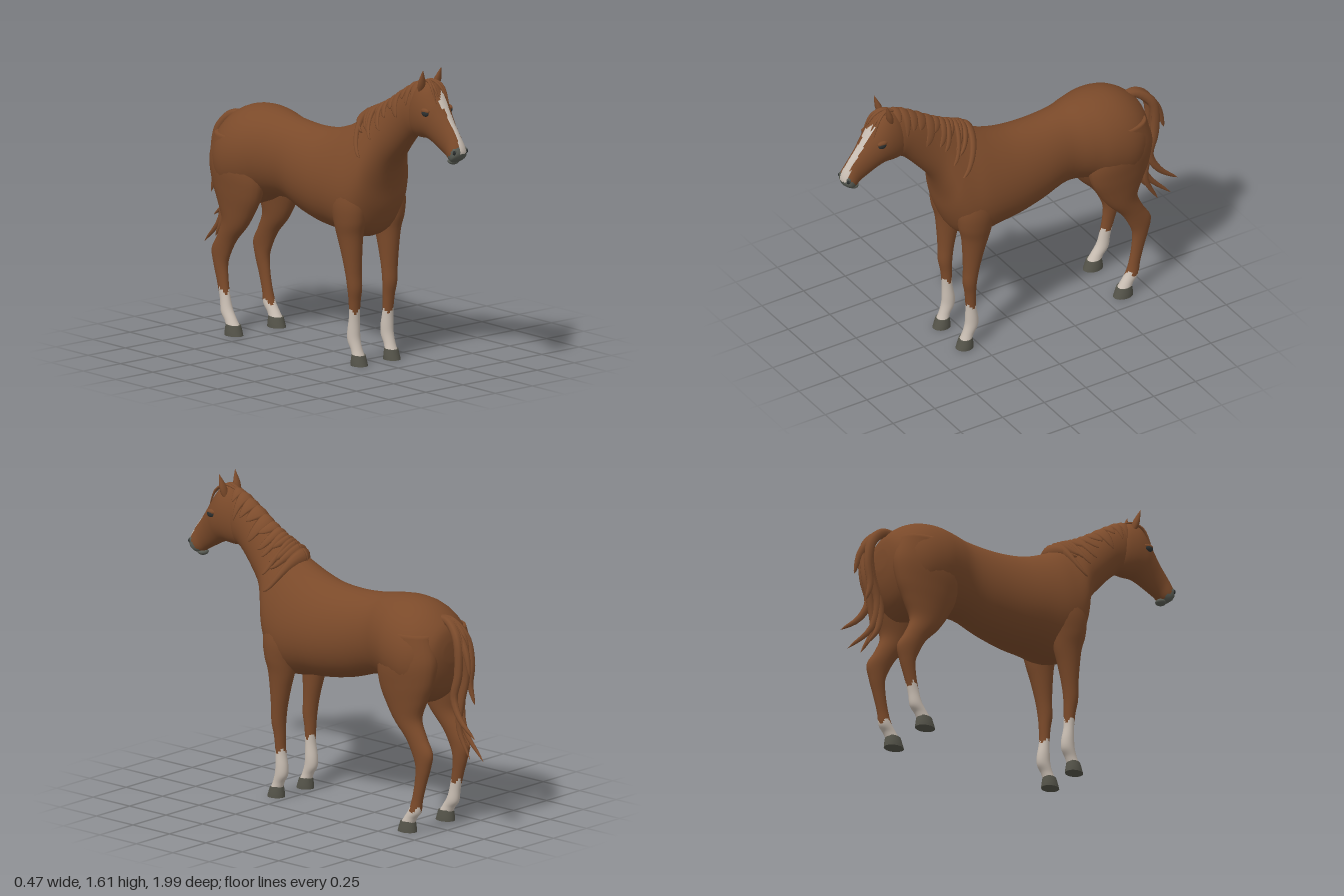
import * as THREE from 'three';
import { toCreasedNormals } from 'three/addons/utils/BufferGeometryUtils.js';

const mat = (name, color) => Object.assign(new THREE.MeshStandardMaterial({ color }), { name });
const coat = mat('chestnut coat', 0x7b4a2a);
const hair = mat('mane and tail hair', 0x7d4c2c);
const white = mat('white markings', 0xc8bdb2);
const grey = mat('grey muzzle', 0x585b53);
const horn = mat('hoof horn', 0x55544a);
const dark = mat('dark eye', 0x2c3030);

// Grid surface from fn(i, j); j wraps round. paint(point, i, j) picks a material index.
function surface(fn, nu, nv, paint = () => 0) {
  const pos = [], faces = [[], [], []];
  const pts = [];
  for (let i = 0; i <= nu; i++) for (let j = 0; j < nv; j++) {
    const p = fn(i, (j / nv) * Math.PI * 2);
    pts.push(p);
    pos.push(p.x, p.y, p.z);
  }
  for (let i = 0; i < nu; i++) for (let j = 0; j < nv; j++) {
    const k = (j + 1) % nv;
    const a = i * nv + j, b = a + nv, c = i * nv + k, d = c + nv;
    const mid = pts[a].clone().add(pts[b]).add(pts[c]).add(pts[d]).multiplyScalar(0.25);
    faces[paint(mid, ((j + 0.5) / nv) * Math.PI * 2)].push(a, b, c, b, d, c);
  }
  const g = new THREE.BufferGeometry();
  g.setAttribute('position', new THREE.Float32BufferAttribute(pos, 3));
  g.setIndex(faces.flat());
  let start = 0;
  faces.forEach((f, m) => { if (f.length) g.addGroup(start, f.length, m); start += f.length; });
  g.computeVertexNormals();
  return g;
}

// Section: [z, y of upper/front edge, z, y of lower/rear edge, half width, x centre, egg shape]
function sectionPoint(S, u, a, scale = 1) {
  const i = Math.min(Math.max(Math.floor(u), 0), S.length - 2), t = u - i;
  const row = k => S[Math.min(Math.max(k, 0), S.length - 1)];
  const v = [0, 1, 2, 3, 4, 5, 6].map(c => {
    const [p, q, r, s] = [i - 1, i, i + 1, i + 2].map(k => row(k)[c] ?? 0);
    return q + 0.5 * t * (r - p + t * (2 * p - 5 * q + 4 * r - s + t * (3 * (q - r) + s - p)));
  });
  const c = Math.cos(a) * scale * 0.5;
  return new THREE.Vector3(
    v[5] + v[4] * Math.sin(a) * (1 - v[6] * Math.cos(a)) * scale,
    (v[1] + v[3]) / 2 + c * (v[1] - v[3]),
    (v[0] + v[2]) / 2 + c * (v[0] - v[2]));
}
function loft(S, per, nv, paint) {
  const n = (S.length - 1) * per;
  return surface((i, a) => sectionPoint(S, Math.min(Math.max(i - 1, 0), n) / per, a,
    i === 0 || i === n + 2 ? 0 : 1), n + 2, nv, paint);
}
// Tapered lock of hair along a path of [x, y, z] points
function strand(points, rx, r) {
  const curve = new THREE.CatmullRomCurve3(points.map(p => new THREE.Vector3(...p)));
  const n = 24;
  return surface((i, b) => {
    const t = i / n, T = curve.getTangent(t), k = Math.pow(1 - t, 0.6) * (0.6 + t);
    const N = new THREE.Vector3(0, -T.z, T.y).normalize();
    return curve.getPoint(t).addScaledVector(N, Math.sin(b) * r * k)
      .add(new THREE.Vector3(Math.cos(b) * rx * k, 0, 0));
  }, n, 8);
}

const TORSO = [
  [-.785, 1.0, -.785, .90, .06], [-.765, 1.08, -.765, .80, .14], [-.69, 1.15, -.72, .71, .205],
  [-.60, 1.19, -.64, .66, .235], [-.50, 1.2, -.52, .69, .228], [-.40, 1.19, -.42, .735, .195],
  [-.30, 1.172, -.30, .745, .163], [-.15, 1.16, -.15, .70, .178, 0, .05], [0, 1.168, 0, .67, .197, 0, .1],
  [.12, 1.2, .12, .66, .207, 0, .15], [.22, 1.245, .24, .645, .208, 0, .2], [.28, 1.28, .34, .68, .192, 0, .25],
  [.32, 1.305, .40, .80, .168, 0, .3], [.36, 1.33, .428, .93, .14, 0, .3], [.41, 1.36, .47, 1.04, .112, 0, .2],
  [.48, 1.405, .545, 1.135, .094, 0, .1], [.57, 1.465, .63, 1.225, .083], [.65, 1.51, .68, 1.25, .076],
  [.72, 1.53, .71, 1.27, .06]];
const HEAD = [
  [.66, 1.50, .62, 1.30, .055], [.72, 1.54, .64, 1.25, .078], [.78, 1.53, .69, 1.24, .088],
  [.83, 1.47, .75, 1.243, .084], [.87, 1.41, .79, 1.23, .07], [.91, 1.355, .845, 1.2, .054],
  [.95, 1.305, .89, 1.175, .046], [.985, 1.25, .92, 1.155, .049], [.998, 1.21, .94, 1.15, .045],
  [.99, 1.18, .955, 1.155, .024]];
const FORELEG = [
  [.34, 1.0, .14, .97, .06, .13], [.375, .86, .15, .84, .08, .13], [.37, .76, .18, .74, .073, .13],
  [.35, .68, .20, .66, .06, .127], [.34, .58, .225, .58, .051, .124], [.335, .48, .25, .48, .043, .121],
  [.336, .40, .262, .40, .039, .118], [.324, .33, .265, .33, .032, .115], [.317, .25, .264, .25, .029, .113],
  [.318, .18, .25, .17, .032, .112], [.322, .13, .252, .12, .032, .112], [.337, .08, .275, .08, .03, .111],
  [.353, .045, .287, .045, .034, .11]];
const HINDLEG = [
  [-.47, 1.05, -.74, 1.05, .08, .13], [-.41, .87, -.78, .92, .1, .128], [-.42, .75, -.765, .80, .085, .132],
  [-.47, .65, -.725, .70, .067, .135], [-.525, .57, -.69, .60, .052, .137], [-.60, .49, -.725, .51, .041, .138],
  [-.645, .41, -.77, .43, .035, .14], [-.665, .35, -.755, .35, .031, .14], [-.66, .27, -.73, .27, .026, .141],
  [-.645, .19, -.705, .18, .025, .142], [-.627, .13, -.693, .11, .03, .143], [-.595, .08, -.665, .075, .03, .144],
  [-.57, .045, -.65, .045, .034, .144]];

export function createModel() {
  const model = new THREE.Group();
  const add = (name, geometry, material, parent = model) => {
    const m = new THREE.Mesh(geometry, material);
    m.name = name;
    parent.add(m);
    return m;
  };
  const ball = (name, p, s, material) => {
    const m = add(name, new THREE.SphereGeometry(1, 16, 12), material);
    m.position.set(...p);
    m.scale.set(...s);
    return m;
  };

  add('bodyAndNeck', loft(TORSO, 4, 40), coat);

  // Head with white blaze and grey muzzle
  add('head', loft(HEAD, 6, 64, (p, a) => {
    const wide = p.y > 1.42 ? .027 : p.y < 1.27 ? .024 : .018;
    const blaze = p.y > 1.205 && p.y < 1.475 + p.x && Math.cos(a) > 0.3;
    if (blaze && Math.abs(p.x - (p.y > 1.42 ? .002 : .009)) < wide) return 1;
    return p.z * .76 - p.y * .65 > -.056 + .004 * Math.sin(a * 7) ? 2 : 0;
  }), [coat, white, grey]);
  ball('lowerLip', [0, 1.155, .925], [.03, .017, .028], grey);

  // Legs with socks of differing height, and hooves
  const legs = [['frontLeg', FORELEG, .25, .28], ['hindLeg', HINDLEG, .125, .22]];
  for (const [name, S, sockLeft, sockRight] of legs) for (const side of [1, -1]) {
    const leg = new THREE.Group();
    leg.name = (side > 0 ? 'left ' : 'right ') + name;
    model.add(leg);
    const sections = S.map(r => [...r.slice(0, 5), r[5] * side]);
    const sock = side > 0 ? sockLeft : sockRight;
    add('limb', loft(sections, 6, 24, (p, a) => (p.y < sock + .015 * Math.sin(a * 3) ? 1 : 0)), [coat, white], leg);
    const [zf, , zb, , , x] = sections[S.length - 1];
    add('hoof', toCreasedNormals(loft([
      [zf + .002, .052, zb - .002, .06, .036, x], [zf + .013, .02, zb - .008, .024, .041, x],
      [zf + .02, 0, zb - .01, 0, .042, x]], 2, 24), 0.7), horn, leg);
  }

  for (const side of [1, -1]) {
    // Ears: pointed leaf shapes
    const ear = add('ear', new THREE.LatheGeometry([[.014, 0], [.027, .035], [.024, .07], [.012, .105], [0, .135]]
      .map(p => new THREE.Vector2(...p)), 14), coat);
    ear.scale.set(.85, 1, .65);
    ear.position.set(side * .045, 1.48, .725);
    ear.rotation.set(.28, 0, -side * .12);
    // Eyes, brows and nostrils
    ball('eye', [side * .081, 1.393, .8], [.012, .017, .024], dark);
    ball('eyelid', [side * .078, 1.404, .797], [.013, .014, .03], coat);
    ball('nostril', [side * .034, 1.213, .973], [.014, .02, .014], grey);
    ball('nostrilOpening', [side * .041, 1.212, .98], [.008, .012, .008], dark);
  }

  // Mane: overlapping locks that lie along both sides of the neck
  const count = 13, steps = 14;
  for (const side of [1, -1]) for (let k = 0; k < count; k++) {
    const f = k / (count - 1), u0 = 10.3 + 7 * f;
    const drift = 1.9 * (1 - f) ** 1.5, reach = 1.25 + .35 * Math.sin(k * 2.4 + side);
    add('maneLock', surface((i, b) => {
      const s = i / steps, w = .42 * Math.pow(1 - s, .55);
      return sectionPoint(TORSO, Math.min(u0 + drift * s * s + w * Math.cos(b) * side, 18),
        side * (s * reach - .04), 1.02 + (.09 * (1 - s) + .03) * Math.sin(b));
    }, steps, 8), hair);
  }

  // Forelock between the ears
  for (const [x, y, z] of [[-.04, 1.44, .84], [-.02, 1.47, .835], [.03, 1.465, .84], [.05, 1.43, .835]])
    add('forelock', strand([[x * .2, 1.53, .69], [x * .4, 1.545, .745], [x * .8, 1.52, .795], [x, y, z]], .013, .009), hair);

  // Tail: locks sharing one dock
  const tails = [
    [.03, [[.0, .85, -.875], [0, .70, -.845], [0, .55, -.83], [0, .40, -.905]]],
    [-.025, [[-.03, .85, -.865], [-.03, .70, -.82], [-.02, .55, -.85], [-.01, .40, -.99]]],
    [.04, [[.04, .85, -.86], [.04, .72, -.83], [.05, .62, -.88], [.055, .53, -.99]]],
    [.015, [[.02, .96, -.895], [.025, .85, -.925]]],
    [-.03, [[-.035, .9, -.88], [-.04, .78, -.87], [-.04, .68, -.9]]],
    [-.01, [[-.02, .85, -.85], [-.03, .68, -.805], [-.035, .55, -.82], [-.03, .45, -.88]]]];
  for (const [x, end] of tails)
    add('tailLock', strand([[0, 1.11, -.69], [x * .4, 1.105, -.77], [x, 1.03, -.85], ...end], .026, .034), hair);

  return model;
}
